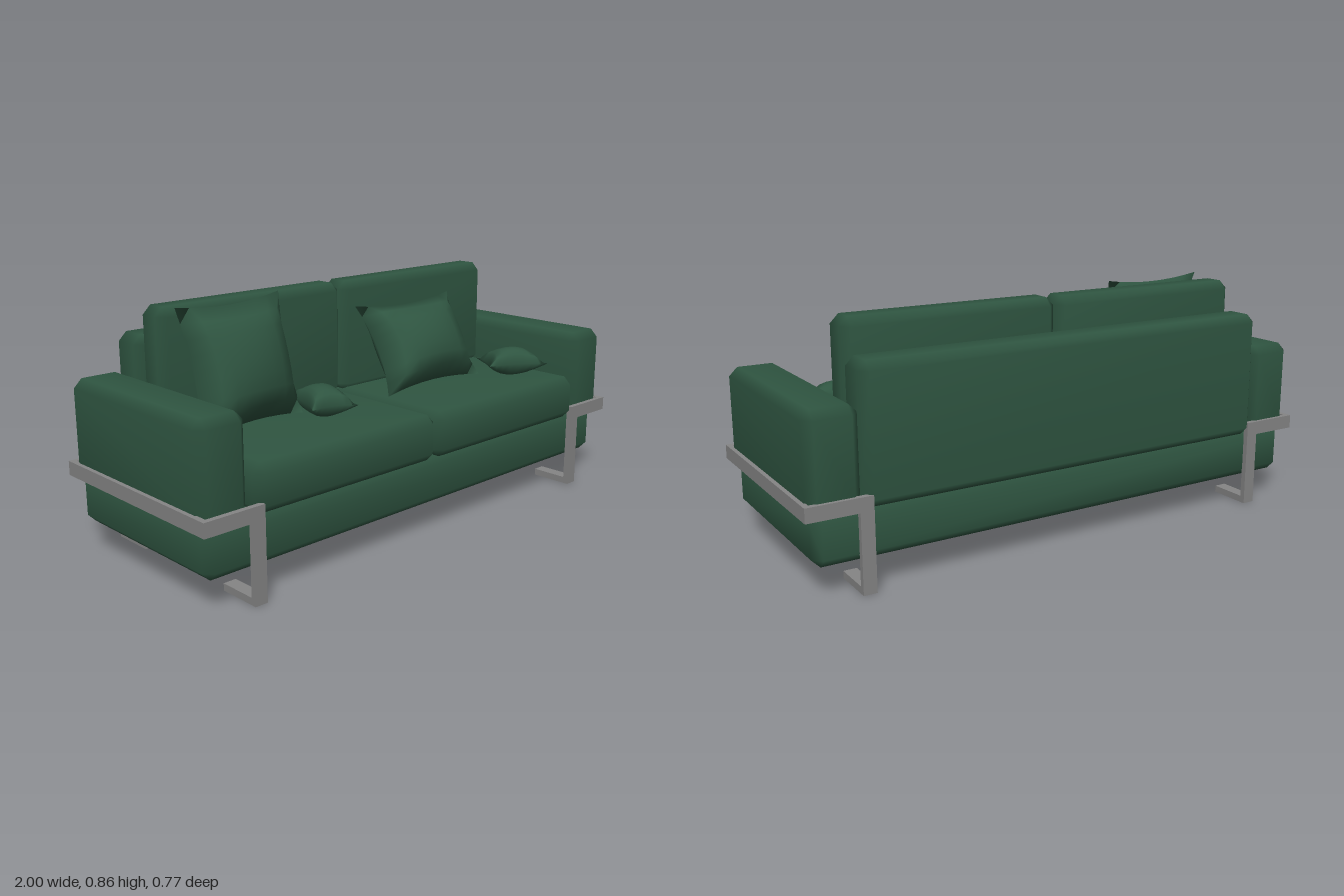
import * as THREE from 'three';
import { mergeVertices, mergeGeometries } from 'three/addons/utils/BufferGeometryUtils.js';
import { ConvexGeometry } from 'three/addons/geometries/ConvexGeometry.js';

const fabric = new THREE.MeshStandardMaterial({ color: 0x2f5541 });
fabric.name = 'green fabric';
const metal = new THREE.MeshStandardMaterial({ color: 0x858585 });
metal.name = 'grey metal';

// Merge shared corners and smooth the normals
function smooth(geometry) {
  geometry.deleteAttribute('normal');
  geometry.deleteAttribute('uv');
  const merged = mergeVertices(geometry, 1e-4);
  merged.computeVertexNormals();
  return merged;
}

// Upholstered block with chamfered edges, given as [min, max] per axis
function block(name, x, y, z, c = 0.03) {
  const half = new THREE.Vector3(x[1] - x[0], y[1] - y[0], z[1] - z[0]).multiplyScalar(0.5);
  const points = [];
  for (const sx of [-1, 1]) for (const sy of [-1, 1]) for (const sz of [-1, 1]) {
    for (const [ix, iy, iz] of [[0, c, c], [c, 0, c], [c, c, 0]]) {
      points.push(new THREE.Vector3(sx * (half.x - ix), sy * (half.y - iy), sz * (half.z - iz)));
    }
  }
  const mesh = new THREE.Mesh(smooth(new ConvexGeometry(points)), fabric);
  mesh.position.set((x[0] + x[1]) / 2, (y[0] + y[1]) / 2, (z[0] + z[1]) / 2);
  mesh.name = name;
  return mesh;
}

// Stuffed pillow: two bulging sheets with pinched-in sides and pointed corners
function pillow(name, [w, h, t], position, tilt, yaw, pinch) {
  const sheets = [1, -1].map((side) => {
    const g = new THREE.PlaneGeometry(2, 2, 8, 8);
    if (side < 0) g.rotateY(Math.PI);
    const p = g.attributes.position;
    for (let i = 0; i < p.count; i++) {
      const u = p.getX(i), v = p.getY(i);
      const bulge = Math.max(0, (1 - u * u) * (1 - v * v)) ** 0.5;
      p.setXYZ(i,
        u * (w / 2) * (1 - pinch * (1 - v * v)),
        v * (h / 2) * (1 - pinch * (1 - u * u)),
        side * (t / 2) * bulge);
    }
    return g;
  });
  const mesh = new THREE.Mesh(smooth(mergeGeometries(sheets)), fabric);
  mesh.position.set(...position);
  mesh.rotation.order = 'YXZ';
  mesh.rotation.set(tilt, yaw, 0);
  mesh.name = name;
  return mesh;
}

// Flat metal bar, given as [min, max] per axis
function bar(name, x, y, z) {
  const mesh = new THREE.Mesh(new THREE.BoxGeometry(x[1] - x[0], y[1] - y[0], z[1] - z[0]), metal);
  mesh.position.set((x[0] + x[1]) / 2, (y[0] + y[1]) / 2, (z[0] + z[1]) / 2);
  mesh.name = name;
  return mesh;
}

// Interval, mirrored when s is -1
const span = (s, a, b) => (s > 0 ? [a, b] : [-b, -a]);

export function createModel() {
  const sofa = new THREE.Group();
  sofa.name = 'sofa';

  // Base and backrest
  sofa.add(block('base', [-0.97, 0.97], [0.105, 0.285], [-0.368, 0.353]));
  sofa.add(block('backrest', [-0.8, 0.805], [0.275, 0.74], [-0.386, -0.24]));

  for (const s of [1, -1]) {
    const side = s > 0 ? 'left' : 'right';

    // Cushions and arms
    sofa.add(block(side + 'SeatCushion', span(s, 0.002, 0.797), [0.28, 0.445], [-0.24, 0.383]));
    sofa.add(block(side + 'BackCushion', span(s, 0.002, 0.795), [0.43, 0.85], [-0.235, -0.107]));
    sofa.add(block(side + 'Arm', span(s, 0.8, 0.985), [0.28, 0.61], [-0.373, s > 0 ? 0.368 : 0.35]));

    // Metal frame: side rail, then a return rail, leg and foot at each end
    const frame = new THREE.Group();
    frame.name = side + 'Frame';
    frame.add(bar('sideRail', span(s, 0.98, 1), [0.273, 0.323], [-0.387, 0.387]));
    for (const e of [1, -1]) {
      const end = e > 0 ? 'front' : 'back';
      frame.add(bar(end + 'Rail', span(s, 0.775, 0.98), [0.273, 0.323], span(e, 0.367, 0.387)));
      frame.add(bar(end + 'Leg', span(s, 0.775, 0.822), [0, 0.273], span(e, 0.367, 0.387)));
      frame.add(bar(end + 'Foot', span(s, 0.775, 0.822), [0, 0.025], span(e, 0.225, 0.367)));
    }
    sofa.add(frame);
  }

  // Loose pillows: two leaning on the back, two lying on the seat
  sofa.add(pillow('tallPillow', [0.45, 0.43, 0.2], [-0.555, 0.655, 0], -0.26, 0.08, 0.09));
  sofa.add(pillow('widePillow', [0.51, 0.36, 0.22], [0.295, 0.603, 0.005], -0.52, 0, 0.13));
  sofa.add(pillow('rightSmallPillow', [0.17, 0.23, 0.11], [-0.295, 0.5, 0.105], -Math.PI / 2, -0.31, 0.2));
  sofa.add(pillow('leftSmallPillow', [0.24, 0.165, 0.11], [0.645, 0.5, 0.18], -Math.PI / 2, -0.53, 0.2));

  return sofa;
}
